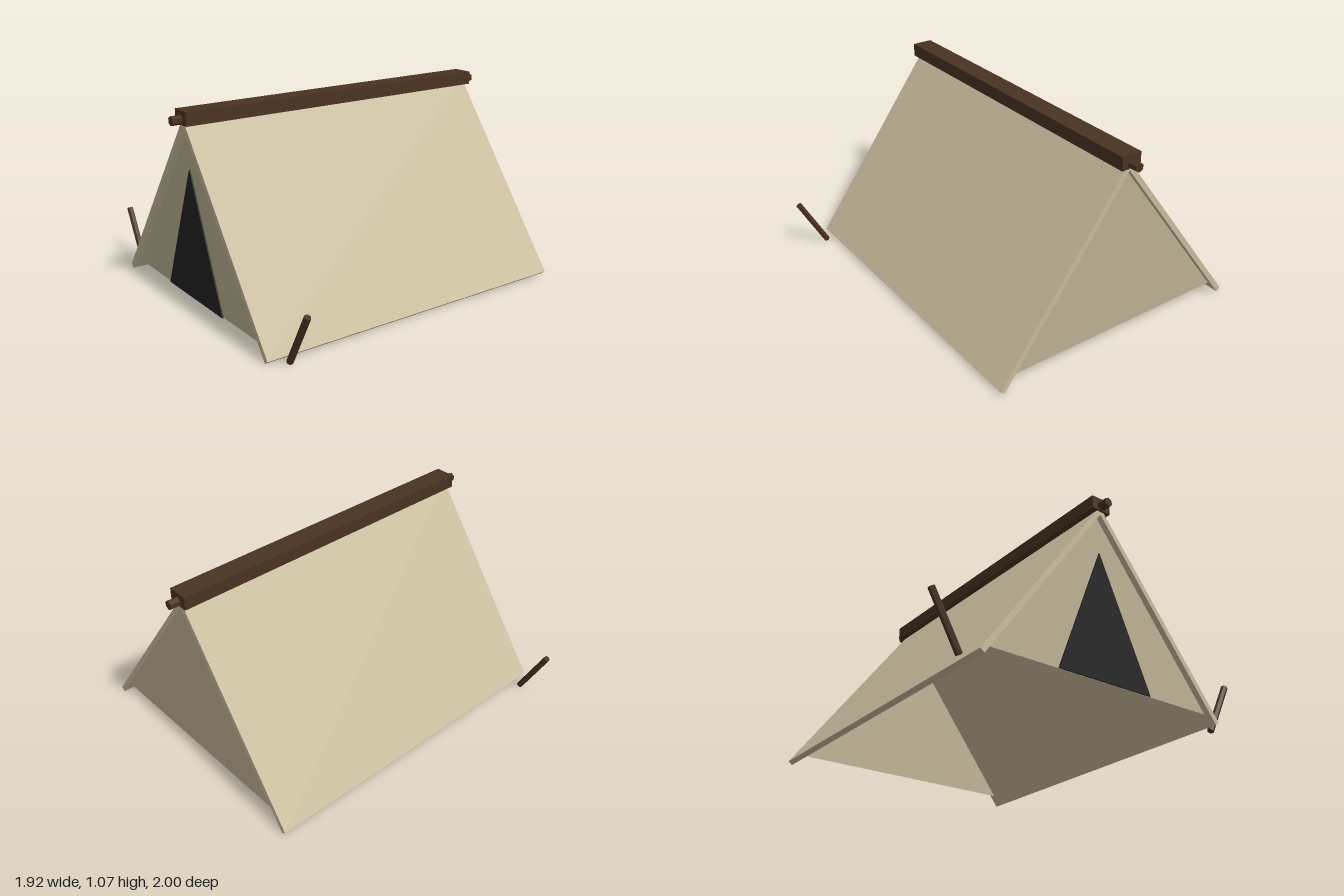
import * as THREE from 'three';

export function createModel() {
  const group = new THREE.Group();
  group.name = 'tent';

  const mat = (name, color, extra = {}) => {
    const m = new THREE.MeshStandardMaterial({ color, ...extra });
    m.name = name;
    return m;
  };
  const canvas = mat('roof canvas', 0xc8bb9c);
  const wallCanvas = mat('wall canvas', 0xbbb092, { side: THREE.DoubleSide });
  const wood = mat('dark wood', 0x4a3322, { flatShading: true });
  const dark = mat('door opening', 0x222222);

  const add = (name, geometry, material) => {
    const mesh = new THREE.Mesh(geometry, material);
    mesh.name = name;
    group.add(mesh);
    return mesh;
  };
  const outline = (points) => new THREE.Shape(points.map(([x, y]) => new THREE.Vector2(x, y)));
  const extrude = (points, depth) =>
    new THREE.ExtrudeGeometry(outline(points), { depth, bevelEnabled: false });

  // Two sloping roof sheets meeting under the ridge, open at the bottom
  const roofLength = 1.87;
  add('roof', extrude([
    [-0.75, 0.018], [-0.727, 0], [0, 0.983], [0.727, 0], [0.75, 0.018], [0, 1.03],
  ], roofLength), canvas).position.z = -roofLength / 2;

  // End walls, set in slightly from the roof edges
  for (const [name, z] of [['frontWall', 0.902], ['backWall', -0.902]]) {
    const wall = new THREE.ShapeGeometry(outline([[-0.692, 0.057], [0.692, 0.057], [0, 0.993]]));
    add(name, wall, wallCanvas).position.z = z;
  }

  // Thin dark doorway on the front wall
  add('door', extrude([[-0.29, 0.057], [0.29, 0.057], [0, 0.765]], 0.008), dark)
    .position.z = 0.904;

  // Ridge beam and the pole passing through it
  add('ridgeBeam', new THREE.BoxGeometry(0.115, 0.073, 1.89), wood).position.y = 1.036;
  const pole = add('ridgePole', new THREE.CylinderGeometry(0.025, 0.025, 2, 6), wood);
  pole.rotation.x = Math.PI / 2;
  pole.position.y = 1.025;

  // Leaning stakes beside the front corners
  for (const side of [1, -1]) {
    const stake = add(side > 0 ? 'leftStake' : 'rightStake',
      new THREE.CylinderGeometry(0.018, 0.018, 0.322, 6), wood);
    stake.position.set(side * 0.869, 0.151, 0.84);
    stake.rotation.z = -side * 0.49;
  }

  return group;
}
